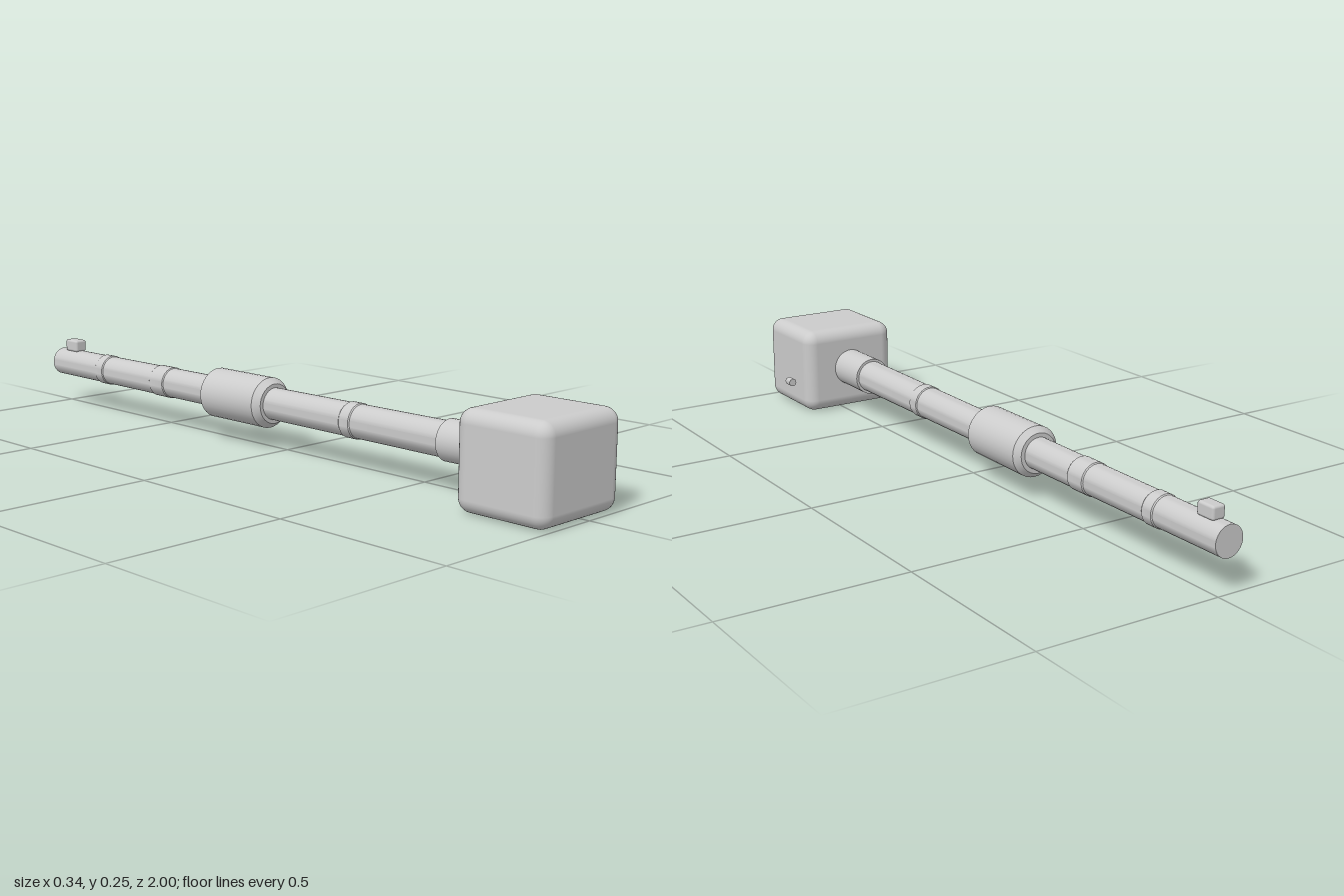
import * as THREE from 'three';
import { toCreasedNormals } from 'three/addons/utils/BufferGeometryUtils.js';
import { RoundedBoxGeometry } from 'three/addons/geometries/RoundedBoxGeometry.js';

const AXIS_X = -0.025, AXIS_Y = 0.129;

export function createModel() {
  const model = new THREE.Group();
  const material = new THREE.MeshStandardMaterial({ color: 0xcccccc });

  const add = (name, geometry, x, y, z) => {
    const mesh = new THREE.Mesh(geometry, material);
    mesh.name = name;
    mesh.position.set(x, y, z);
    model.add(mesh);
    return mesh;
  };

  // Turned part along z; profile is [radius, z] from back to front
  const turned = (name, profile, x = AXIS_X, y = AXIS_Y, sides = 32) => {
    const points = profile.map(([r, z]) => new THREE.Vector2(r, z));
    const geometry = new THREE.LatheGeometry(points, sides).rotateX(Math.PI / 2);
    return add(name, toCreasedNormals(geometry, 0.5), x, y, 0);
  };

  // Rounded block at the front
  add('mantlet', new RoundedBoxGeometry(0.296, 0.251, 0.265, 5, 0.036), AXIS_X, 0.1255, 0.8675);

  // Tapered barrel with closed muzzle
  const barrelRadius = z => 0.0445 + 0.0035 * z;
  turned('barrel', [[0, -1], [barrelRadius(-1), -1], [barrelRadius(0.74), 0.74], [0, 0.74]]);
  turned('barrelBaseSleeve', [[0.046, 0.6], [0.054, 0.6], [0.054, 0.74]]);

  // Thicker cylinder at mid barrel with bevelled ends
  turned('boreEvacuator', [
    [0.042, -0.271], [0.055, -0.271], [0.07, -0.254],
    [0.07, -0.043], [0.055, -0.023], [0.042, -0.023],
  ]);

  // Slim clamping bands on the thermal sleeve
  for (const [back, front] of [[-0.785, -0.74], [-0.52, -0.45], [0.26, 0.305]]) {
    const a = barrelRadius(back), b = barrelRadius(front);
    turned('sleeveBand', [
      [a - 0.002, back], [a + 0.0025, back + 0.006],
      [b + 0.0025, front - 0.006], [b - 0.002, front],
    ]);
  }

  // Small block on top of the muzzle
  add('muzzleReference', new RoundedBoxGeometry(0.038, 0.036, 0.057, 2, 0.007), AXIS_X, 0.185, -0.935);

  // Short stub of the secondary barrel beside the mantlet
  turned('coaxialBarrel', [[0, 0.768], [0.0115, 0.768], [0.0115, 0.795], [0, 0.795]], 0.16, 0.098, 16);

  return model;
}
